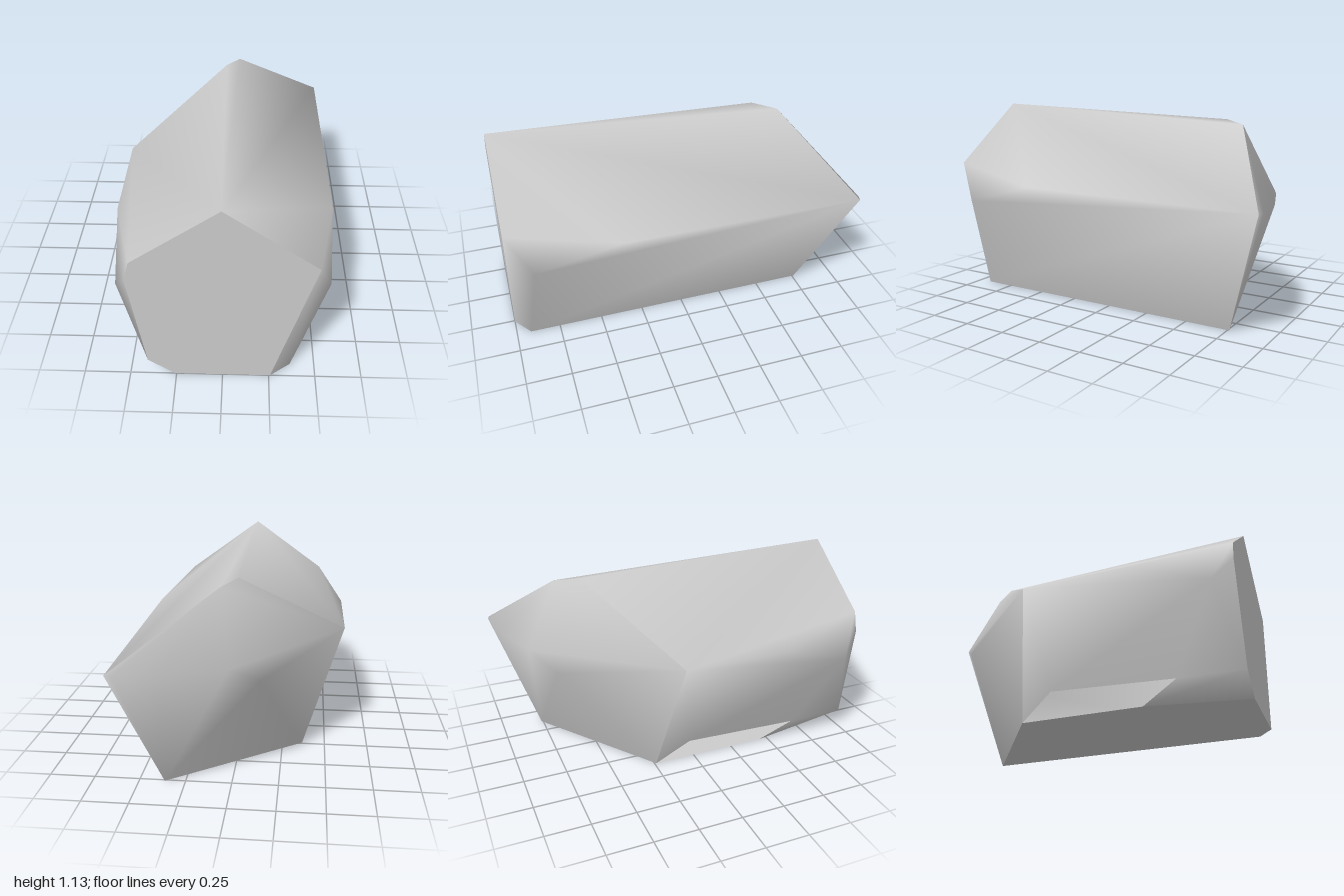
import * as THREE from 'three';
import { mergeVertices } from 'three/addons/utils/BufferGeometryUtils.js';
import { ConvexGeometry } from 'three/addons/geometries/ConvexGeometry.js';

// corners of the cut pentagonal block, grouped by region
const corners = {
  frontFace: [[0, 1.13, 1], [0.475, 0.785, 1], [0.28, 0.2, 1], [0.257, 0, 1], [-0.26, 0, 1],
    [-0.4, 0.107, 1], [-0.48, 0.69, 1], [-0.45, 0.805, 1]],
  leftSide: [[0.553, 0.57, 0.87], [0.592, 0.698, 0.4], [0.367, 0, 0.92]],
  rightSide: [[-0.55, 0.56, 0.89], [-0.594, 0.7, 0.45], [-0.367, 0, 0.45],
    [-0.416, 0.138, -0.05], [-0.407, 0.11, 0.645]],
  backFace: [[-0.02, 1.08, -0.55], [0.06, 1.06, -0.68], [0.588, 0.69, -0.99], [0.55, 0.69, -1],
    [0.32, 0.69, -0.97], [0, 0.69, -0.86], [-0.15, 0.59, -0.74], [-0.594, 0.7, -0.15],
    [-0.367, 0, -0.24], [0.362, 0, -0.76]],
};

// small opening low on the right side
const inOpening = (v) => v.x < -0.36 && v.y < 0.15 && Math.abs(v.z) < 0.7;

function regionOf(n) {
  if (n.z > 0.95) return 'frontCap';
  if (n.y < -0.95) return 'bottom';
  if (n.z < -0.45) return 'backCap';
  return 'sides';
}

export function createModel() {
  const group = new THREE.Group();
  group.name = 'cutPentagonBlock';
  const stone = new THREE.MeshStandardMaterial({ color: 0xcccccc, side: THREE.DoubleSide });
  stone.name = 'light grey';

  const points = Object.values(corners).flat().map((p) => new THREE.Vector3(...p));
  const pos = new ConvexGeometry(points).getAttribute('position');

  // sort the hull triangles into regions: smooth inside, sharp between them
  const regions = { frontCap: [], bottom: [], backCap: [], sides: [] };
  const tri = new THREE.Triangle();
  const normal = new THREE.Vector3();
  for (let i = 0; i < pos.count; i += 3) {
    tri.setFromAttributeAndIndices(pos, i, i + 1, i + 2);
    const verts = [tri.a, tri.b, tri.c];
    const region = regionOf(tri.getNormal(normal));
    if (region === 'sides' && verts.every(inOpening)) continue;
    verts.forEach((v) => regions[region].push(v.x, v.y, v.z));
  }

  for (const [name, coords] of Object.entries(regions)) {
    if (!coords.length) continue;
    let geo = new THREE.BufferGeometry();
    geo.setAttribute('position', new THREE.Float32BufferAttribute(coords, 3));
    geo = mergeVertices(geo);
    geo.computeVertexNormals();
    const mesh = new THREE.Mesh(geo, stone);
    mesh.name = name;
    group.add(mesh);
  }
  return group;
}
